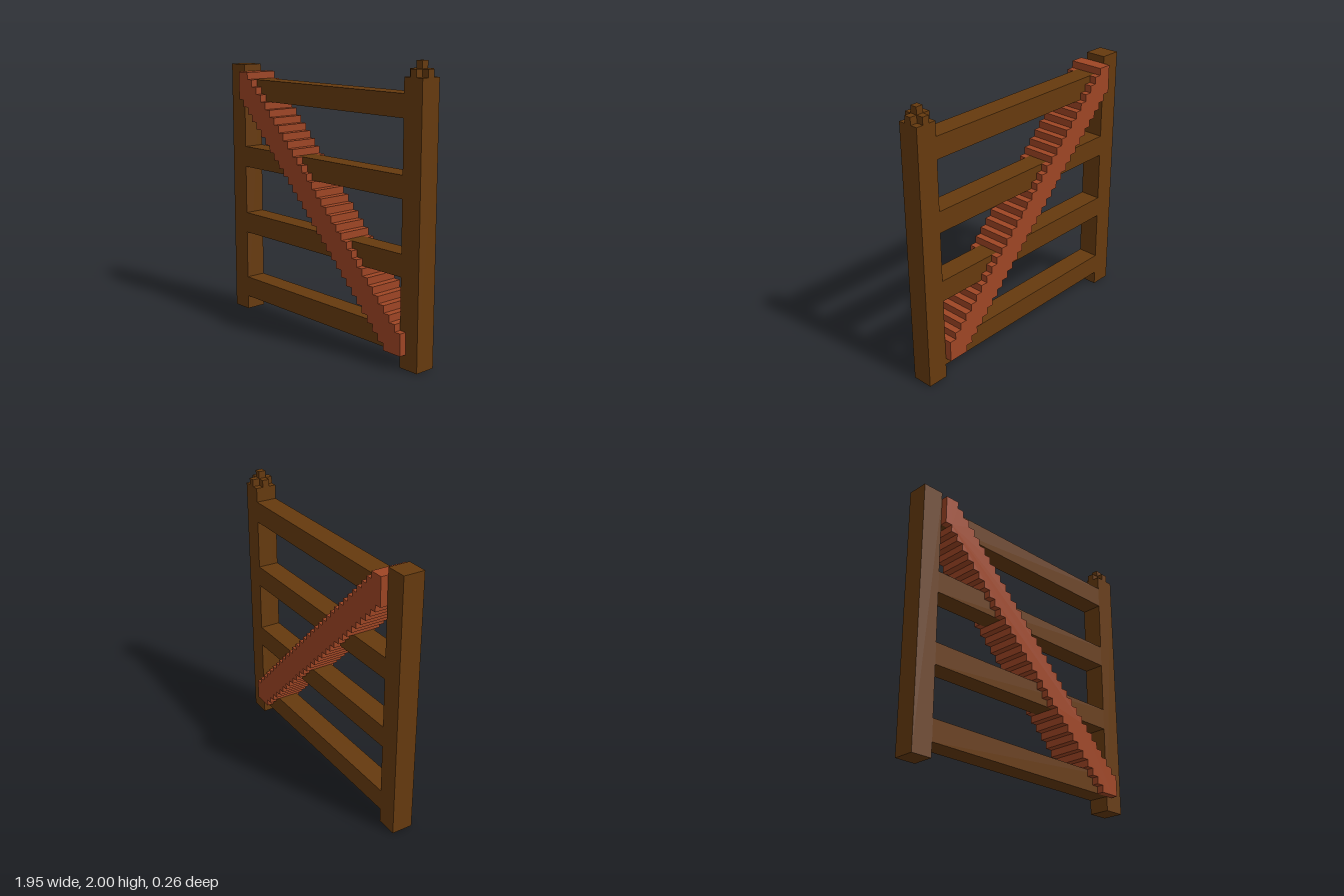
import * as THREE from 'three';

const U = 2 / 39; // one block of the grid

const wood = new THREE.MeshStandardMaterial({ color: 0x663a0e });
wood.name = 'dark wood';
const redWood = new THREE.MeshStandardMaterial({ color: 0x9e4524 });
redWood.name = 'red wood';

// Box given by its bounds in blocks
function block(name, x0, x1, y0, y1, z0, z1) {
  const geo = new THREE.BoxGeometry((x1 - x0) * U, (y1 - y0) * U, (z1 - z0) * U);
  geo.translate((x0 + x1) / 2 * U, (y0 + y1) / 2 * U, (z0 + z1) / 2 * U);
  const mesh = new THREE.Mesh(geo, wood);
  mesh.name = name;
  return mesh;
}

// Stepped slice of the diagonal brace, limited to heights lo..hi and columns up to lastCol
function braceSlice(name, lastCol, lo, hi, z0, z1) {
  const lower = [], upper = [];
  const add = (list, x, y) => {
    const p = list[list.length - 1];
    if (!p || p.x !== x || p.y !== y) list.push(new THREE.Vector2(x, y));
  };
  for (let x = -16; x <= lastCol; x++) {
    const bottom = Math.max(lo, 16 - x);
    const top = Math.min(hi, 36, 21 - x);
    if (bottom >= top) continue;
    add(lower, x, bottom);
    add(lower, x + 1, bottom);
    add(upper, x, top);
    add(upper, x + 1, top);
  }
  const outline = [...lower, ...upper.reverse()].map((p) => p.multiplyScalar(U));
  const geo = new THREE.ExtrudeGeometry(new THREE.Shape(outline), {
    depth: (z1 - z0) * U, bevelEnabled: false,
  });
  geo.translate(0, 0, z0 * U);
  const mesh = new THREE.Mesh(geo, redWood);
  mesh.name = name;
  return mesh;
}

export function createModel() {
  const gate = new THREE.Group();
  gate.name = 'gate';

  // Posts
  gate.add(block('hingePost', -19, -16, 0, 37, -1.5, 1.5));
  gate.add(block('latchPost', 16, 19, 0, 37, -1.5, 1.5));

  // Cross-shaped finial on the latch post
  const finial = new THREE.Group();
  finial.name = 'finial';
  finial.add(
    block('finialBar', 16, 19, 37, 38, -0.5, 0.5),
    block('finialFrontArm', 17, 18, 37, 38, 0.5, 1.5),
    block('finialBackArm', 17, 18, 37, 38, -1.5, -0.5),
    block('finialTip', 17, 18, 38, 39, -0.5, 0.5),
  );
  gate.add(finial);

  // Four rails, with the brace filling the openings above each
  const brace = new THREE.Group();
  brace.name = 'brace';
  for (const y of [2, 12, 22, 32]) {
    gate.add(block('rail', -16, 16, y, y + 3, -1.5, 1.5));
    brace.add(braceSlice('braceCore', 15, y + 3, y + 10, -1.5, 1.5));
  }

  // Brace faces standing proud of the rails
  brace.add(braceSlice('braceFront', 16, 2, 36, 1.5, 2.5));
  brace.add(braceSlice('braceBack', 15, 3, 36, -2.5, -1.5));
  gate.add(brace);

  return gate;
}
